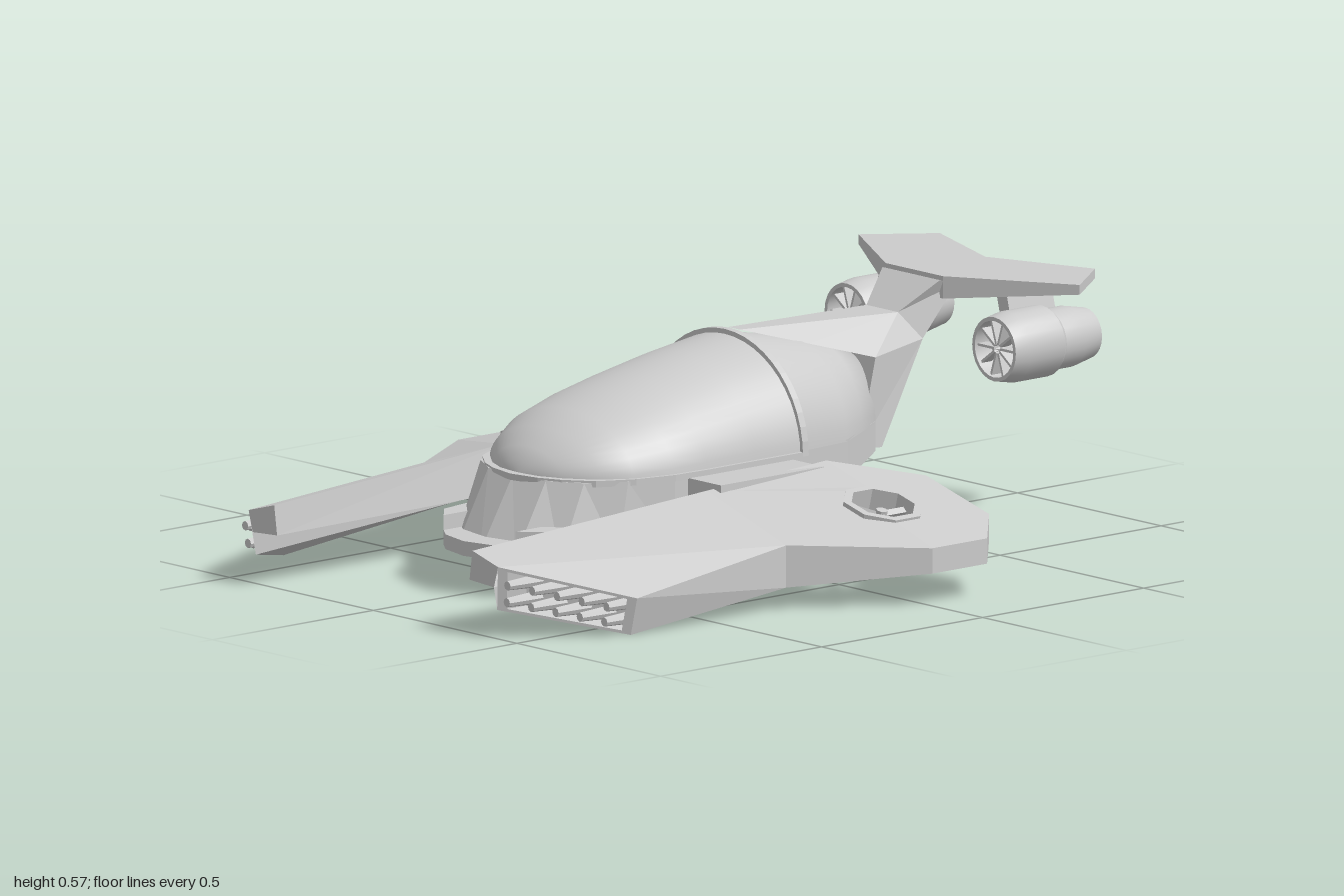
import * as THREE from 'three';
import { toCreasedNormals, mergeVertices } from 'three/addons/utils/BufferGeometryUtils.js';

const flat = new THREE.MeshStandardMaterial({ color: 0xcccccc, flatShading: true, side: THREE.DoubleSide });
const smooth = new THREE.MeshStandardMaterial({ color: 0xcccccc, side: THREE.DoubleSide });

function add(parent, name, geo, mat = flat, pos = [0, 0, 0]) {
  const m = new THREE.Mesh(geo, mat);
  m.name = name;
  m.position.set(...pos);
  parent.add(m);
  return m;
}

// Skin between rings of [x, y, z] points, with an optional cap on the last ring
function loft(rings, closed = true, cap = false) {
  const n = rings[0].length, idx = [], last = (rings.length - 1) * n;
  for (let i = 0; i < rings.length - 1; i++)
    for (let j = 0; j < (closed ? n : n - 1); j++) {
      const a = i * n + j, b = i * n + (j + 1) % n;
      idx.push(a, a + n, b, b, a + n, b + n);
    }
  if (cap) for (let j = 1; j < n - 1; j++) idx.push(last, last + j + 1, last + j);
  const g = new THREE.BufferGeometry();
  g.setAttribute('position', new THREE.Float32BufferAttribute(rings.flat(2), 3));
  g.setIndex(idx);
  g.computeVertexNormals();
  return g;
}

// Plate from a plan outline of [x, z]; move(x, z, isTop) places each corner
function plate(outline, move, hole) {
  const v = ([x, z]) => new THREE.Vector2(x, -z);
  const shape = new THREE.Shape(outline.map(v));
  if (hole) shape.holes.push(new THREE.Path(hole.map(v)));
  const g = new THREE.ExtrudeGeometry(shape, { depth: 1, bevelEnabled: false });
  g.rotateX(-Math.PI / 2);
  const p = g.attributes.position;
  for (let i = 0; i < p.count; i++) p.setXYZ(i, ...move(p.getX(i), p.getZ(i), p.getY(i) > 0.5));
  g.computeVertexNormals();
  return g;
}

const mirrorOutline = half => [...half, ...half.filter(p => p[0] > 0).reverse().map(([x, z]) => [-x, z])];
const ngon = (n, r, cx, cz) => Array.from({ length: n }, (_, i) => {
  const a = (i + 0.5) / n * Math.PI * 2;
  return [cx + r * Math.cos(a), cz + r * Math.sin(a)];
});
// Half-elliptic dome section, from +x over the top to -x
const arch = (z, w, top, base = 0.265, n = 24) => Array.from({ length: n + 1 }, (_, i) => {
  const a = i / n * Math.PI;
  return [w * Math.cos(a), base + (top - base) * Math.sin(a), z];
});
const turned = (pts, n = 24) => toCreasedNormals(
  new THREE.LatheGeometry(pts.map(p => new THREE.Vector2(...p)), n), 0.6);

function fuselage() {
  const g = new THREE.Group();
  g.name = 'fuselage';
  const hull = mirrorOutline([[0, 0.67], [0.1, 0.65], [0.18, 0.58], [0.235, 0.45], [0.265, 0.3], [0.265, -0.1],
    [0.22, -0.13], [0.215, -0.28], [0.1, -0.47], [0, -0.47]]);
  add(g, 'lowerHull', plate(hull, (x, z, top) => top
    ? [x, 0.27, z > 0.35 ? z - (z - 0.35) * 0.32 : z]
    : [x, 0.1 + Math.max(0, 0.3 - z) * 0.128, z]));
  // Nose lip with a shallow notch in the middle
  const lip = mirrorOutline([[0, 0.72], [0.085, 0.7], [0.125, 0.67], [0.18, 0.62], [0.2, 0.5], [0, 0.5]]);
  add(g, 'noseLip', plate(lip, (x, z, t) => [x, t ? 0.135 : 0.1, z]));
  for (const s of [1, -1]) {
    const cheek = [[0.125, 0.67], [0.18, 0.62], [0.2, 0.5], [0.125, 0.5]].map(([x, z]) => [x * s, z]);
    add(g, 'noseCheek', plate(cheek, (x, z, t) => [x, t ? 0.17 : 0.13, z]));
  }
  // Canopy dome and its rim
  const canopy = [[-0.1, 0.265, 0.515], [0.05, 0.265, 0.492], [0.2, 0.265, 0.46], [0.3, 0.26, 0.435],
    [0.4, 0.235, 0.405], [0.47, 0.19, 0.37], [0.52, 0.125, 0.332], [0.545, 0.07, 0.3], [0.555, 0.001, 0.266]];
  add(g, 'canopy', loft(canopy.map(([z, w, t]) => arch(z, w, t)).reverse(), false), smooth);
  const rim = mirrorOutline([[0, 0.575], ...canopy.slice(0, -1).reverse().map(([z, w]) => [w + 0.008, z + (z > 0.4 ? 0.015 : 0)]), [0, -0.1]]);
  add(g, 'canopyRim', plate(rim, (x, z, t) => [x, t ? 0.275 : 0.26, z]));
  add(g, 'canopyCollar', loft([arch(-0.09, 0.262, 0.51), arch(-0.09, 0.274, 0.525), arch(-0.108, 0.274, 0.525),
    arch(-0.108, 0.22, 0.5)], false), flat);
  // Rear shell
  add(g, 'rearShell', loft([arch(-0.1, 0.25, 0.512), arch(-0.15, 0.225, 0.507), arch(-0.28, 0.215, 0.485),
    arch(-0.38, 0.155, 0.455), arch(-0.47, 0.1, 0.42), arch(-0.47, 0.001, 0.27)], false), smooth);
  // Belly thrusters
  for (const s of [1, -1])
    add(g, 'bellyThruster', turned([[0, 0.03], [0.02, 0.01], [0.02, 0.03], [0.043, 0.03], [0.043, 0],
      [0.055, 0], [0.062, 0.03], [0.062, 0.1]], 16), smooth, [0.1 * s, 0.108, -0.22]);
  // Struts to the wings
  for (const s of [1, -1])
    add(g, 'wingStrut', new THREE.BoxGeometry(0.2, 0.1, 0.32), flat, [0.28 * s, 0.212, 0.1]);
  return g;
}

function tail() {
  const g = new THREE.Group();
  g.name = 'tail';
  // Pylon: side profile of [z, y, half width]
  const side = [[-0.12, 0.522, 0.02], [-0.58, 0.505, 0.055], [-0.67, 0.575, 0.1], [-0.72, 0.56, 0.1],
    [-0.63, 0.44, 0.085], [-0.49, 0.205, 0.1], [-0.42, 0.21, 0.1], [-0.47, 0.42, 0.1], [-0.3, 0.47, 0.06]];
  const geo = new THREE.ExtrudeGeometry(new THREE.Shape(side.map(([z, y]) => new THREE.Vector2(z, y))),
    { depth: 1, bevelEnabled: false });
  const p = geo.attributes.position;
  for (let i = 0; i < p.count; i++) {
    const z = p.getX(i), y = p.getY(i);
    const w = side.find(q => Math.hypot(q[0] - z, q[1] - y) < 1e-4)[2];
    p.setXYZ(i, p.getZ(i) > 0.5 ? -w : w, y, z);
  }
  geo.computeVertexNormals();
  add(g, 'tailPylon', geo);
  const wing = mirrorOutline([[0, -0.68], [0.1, -0.68], [0.385, -0.85], [0.27, -1], [0, -0.9]]);
  add(g, 'tailWing', plate(wing, (x, z, t) => [x, t ? 0.583 : Math.abs(x) < 0.2 ? 0.53 : 0.56, z]));

  for (const s of [1, -1]) {
    const e = new THREE.Group();
    e.name = 'engine';
    e.position.set(0.257 * s, 0.432, -0.83);
    const shell = turned([[0, -0.1], [0.025, -0.13], [0.025, -0.11], [0.047, -0.11], [0.047, -0.15], [0.06, -0.15],
      [0.072, -0.09], [0.072, -0.03], [0.084, -0.015], [0.084, 0.09], [0.076, 0.132], [0.067, 0.132], [0.067, 0.08], [0, 0.08]]);
    add(e, 'engineShell', shell.rotateX(Math.PI / 2), smooth);
    add(e, 'fanHub', new THREE.ConeGeometry(0.02, 0.05, 12).rotateX(Math.PI / 2), smooth, [0, 0, 0.105]);
    for (let i = 0; i < 10; i++)
      add(e, 'fanVane', new THREE.BoxGeometry(0.058, 0.006, 0.03).translate(0.04, 0, 0.108)).rotation.z = i * Math.PI / 5;
    const mount = add(e, 'engineMount', new THREE.BoxGeometry(0.035, 0.1, 0.14), flat, [-0.05 * s, 0.095, -0.01]);
    mount.rotation.z = 0.25 * s;
    g.add(e);
  }
  return g;
}

// Wing for the +x side
function wing() {
  const g = new THREE.Group();
  g.name = 'wing';
  const topY = (x, z) => 0.27 - 0.26 * (x - 0.35) - Math.max(0, z) * (0.07 + 0.2 * (x - 0.35));
  const at = (x, z, drop = 0) => [x, topY(x, z) - drop, z];
  const hx = 0.59, hz = -0.05;
  // Rear pad with the fan opening
  const pad = [[0.355, 0.28], [0.355, -0.09], [0.5, -0.27], [0.72, -0.27], [0.825, -0.17], [0.825, 0], [0.63, 0.28]];
  add(g, 'wingPad', plate(pad, (x, z, t) => {
    if (t) return at(x, z);
    const [, y] = at(x, z, z > 0.2 ? 0.1 : x < 0.4 ? 0.11 : 0.06);
    return [x < 0.4 ? x - 0.02 : x, y, z];
  }, ngon(8, 0.092, hx, hz)));
  // Fan ring and blades
  const fan = new THREE.Group();
  fan.name = 'liftFan';
  fan.position.set(hx, topY(hx, hz) - 0.025, hz);
  fan.rotation.z = -Math.atan(0.26);
  add(fan, 'fanRing', plate(ngon(8, 0.098, 0, 0), (x, z, t) => [x, t ? 0.03 : -0.035, z], ngon(8, 0.078, 0, 0)));
  for (let i = 0; i < 3; i++) {
    const b = add(fan, 'fanBlade', new THREE.BoxGeometry(0.08, 0.008, 0.016).rotateX(0.5).translate(0.04, 0, 0));
    b.rotation.y = Math.PI / 2 + i * Math.PI * 2 / 3;
  }
  add(fan, 'fanHub', new THREE.CylinderGeometry(0.014, 0.014, 0.025, 8));
  g.add(fan);

  // Forward arm: inner top, mid top, outer top, outer bottom, box inner bottom, groove, inner bottom
  const rear = [at(0.355, 0.28), at(0.49, 0.28), at(0.63, 0.28), at(0.63, 0.28, 0.1), [0.375, 0.14, 0.28],
    [0.36, 0.14, 0.28], [0.335, 0.14, 0.28]];
  const front = [[0.345, 0.205, 1], [0.434, 0.18, 1], [0.627, 0.1, 0.74], [0.605, 0.01, 0.74], [0.42, 0.075, 0.99],
    [0.42, 0.13, 1], [0.335, 0.135, 1]];
  add(g, 'wingArm', loft([rear, front]));
  add(g, 'armTip', loft([[front[0], front[1], front[5], front[6]]], true, true));

  // Recessed gun bay in the slanted front
  const face = front.slice(1, 5);
  const mid = [0, 1, 2].map(k => face.reduce((s, p) => s + p[k] / 4, 0));
  const inner = face.map(p => p.map((c, k) => mid[k] + (c - mid[k]) * 0.86));
  add(g, 'gunBay', loft([face, inner, inner.map(([x, y, z]) => [x, y, z - 0.06])], true, true));
  for (const v of [0.3, 0.7])
    for (let i = 0; i < 5; i++) {
      const u = 0.14 + i * 0.18;
      const q = [0, 1, 2].map(k => (1 - v) * ((1 - u) * face[0][k] + u * face[1][k])
        + v * ((1 - u) * face[3][k] + u * face[2][k]));
      q[2] -= 0.02;
      add(g, 'gunBarrel', new THREE.CylinderGeometry(0.011, 0.016, 0.1, 8).rotateX(Math.PI / 2), flat, q);
    }
  return g;
}

export function createModel() {
  const model = new THREE.Group();
  model.name = 'gunship';
  const left = wing(), right = wing();
  left.name = 'leftWing';
  right.name = 'rightWing';
  right.scale.x = -1;
  model.add(fuselage(), tail(), left, right);
  return model;
}
